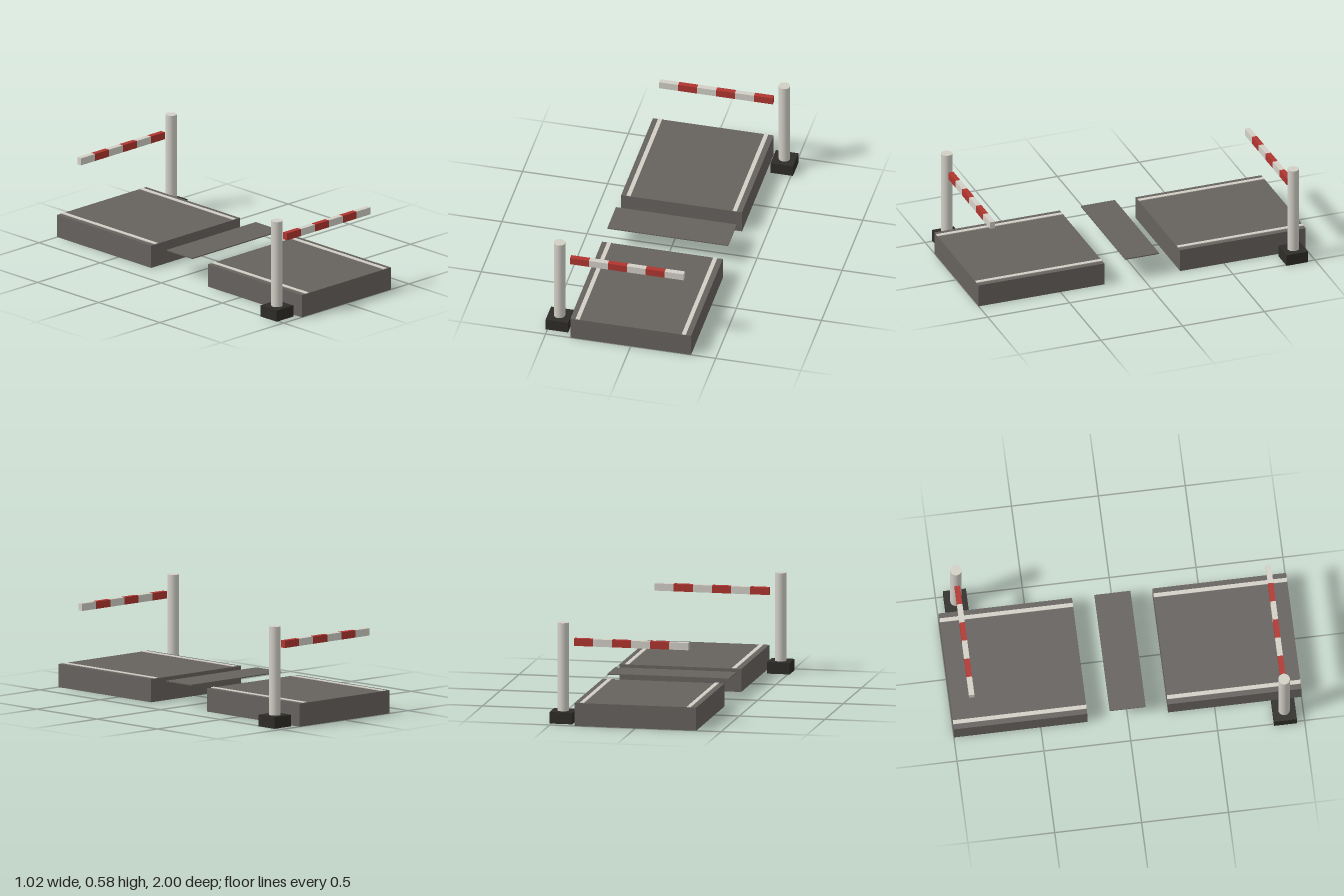
import * as THREE from 'three';

const mat = (color) => new THREE.MeshStandardMaterial({ color });

export function createModel() {
  const model = new THREE.Group();
  model.name = 'bridgeCrossing';

  const asphalt = mat(0x66625e);
  const white = mat(0xd2cfc6);
  const red = mat(0xb0352f);
  const dark = mat(0x2e2c28);

  // Box given by its centre in x and z and its bottom in y
  const box = (parent, name, material, w, h, d, x, y, z) => {
    const mesh = new THREE.Mesh(new THREE.BoxGeometry(w, h, d), material);
    mesh.name = name;
    mesh.position.set(x, y + h / 2, z);
    parent.add(mesh);
  };

  // One road approach with its barrier, built at the front
  const buildApproach = (name) => {
    const side = new THREE.Group();
    side.name = name;

    // Road block and edge lines
    box(side, 'roadDeck', asphalt, 0.71, 0.134, 0.768, 0, 0, 0.616);
    for (const s of [-1, 1]) {
      box(side, 'edgeLine', white, 0.024, 0.004, 0.768, s * 0.312, 0.134, 0.616);
    }

    // Barrier post on its plinth
    const x = -0.445, z = 0.889;
    box(side, 'postBase', dark, 0.132, 0.067, 0.132, x, 0, z);
    const post = new THREE.Mesh(new THREE.CylinderGeometry(0.033, 0.033, 0.512, 24), white);
    post.name = 'barrierPost';
    post.position.set(x, 0.067 + 0.256, z);
    side.add(post);

    // Striped barrier arm
    const arm = new THREE.Group();
    arm.name = 'barrierArm';
    const step = 0.1113;
    for (let i = 0; i < 6; i++) {
      box(arm, 'armStripe', i % 2 ? white : red, step, 0.042, 0.031, -0.38 + (i + 0.5) * step, 0.447, z);
    }
    side.add(arm);
    return side;
  };

  const front = buildApproach('frontApproach');
  const back = buildApproach('backApproach');
  back.rotation.y = Math.PI;
  model.add(front, back);

  // Thin loose plate in the middle of the gap
  box(model, 'centrePlate', asphalt, 0.71, 0.006, 0.208, 0, 0.134, 0);

  return model;
}
